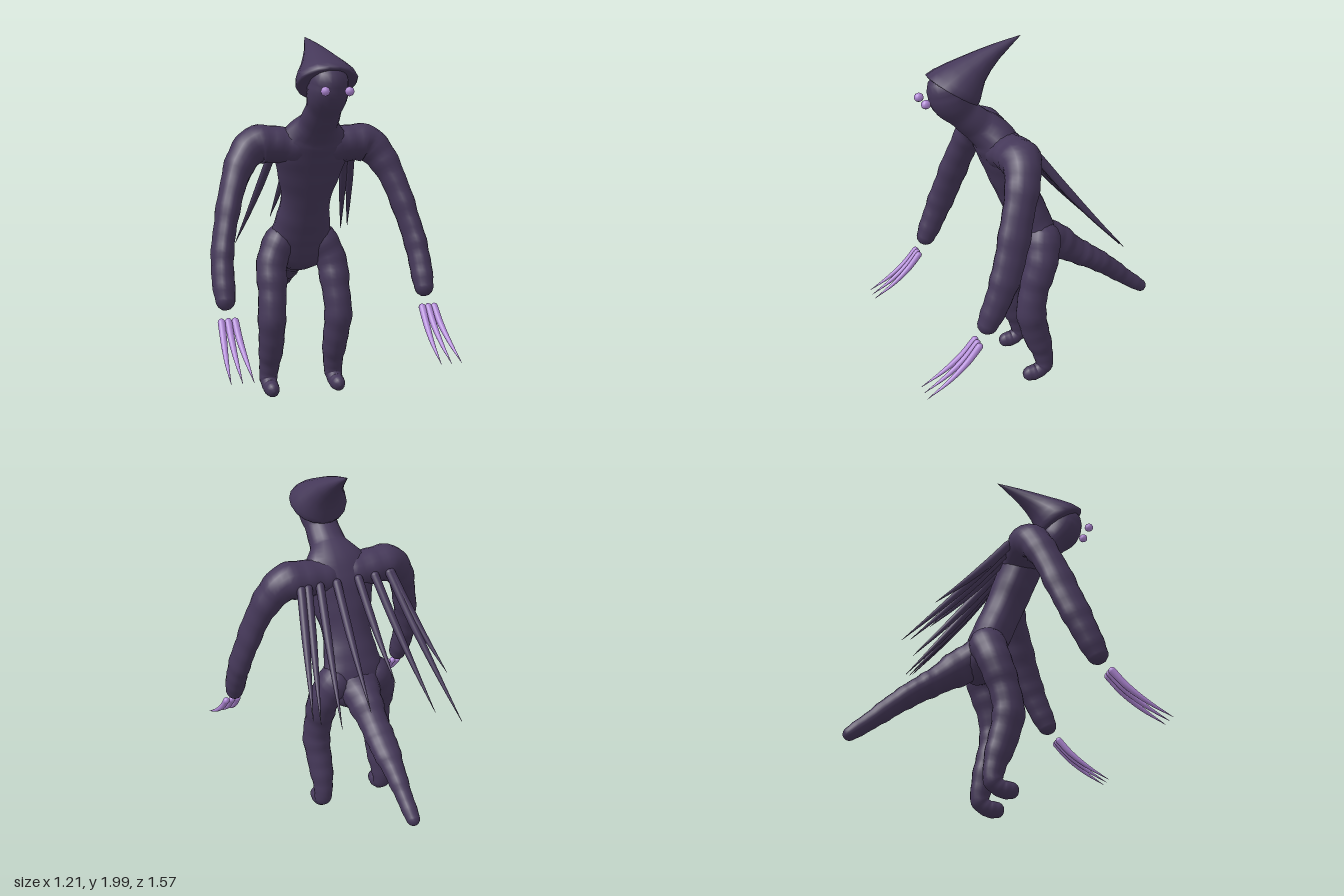
import * as THREE from 'three';

const SIDES = 18;

// Skin a list of rings {c, s, v} (centre and two half-axes) with smooth normals
function loft(rings) {
  const pos = [], idx = [];
  for (const { c, s, v } of rings) {
    for (let j = 0; j < SIDES; j++) {
      const a = (j / SIDES) * Math.PI * 2;
      const p = c.clone().addScaledVector(s, Math.cos(a)).addScaledVector(v, Math.sin(a));
      pos.push(p.x, p.y, p.z);
    }
  }
  for (let i = 0; i < rings.length - 1; i++) {
    for (let j = 0; j < SIDES; j++) {
      const k = (j + 1) % SIDES;
      const a = i * SIDES + j, b = i * SIDES + k;
      idx.push(a, b, a + SIDES, b, b + SIDES, a + SIDES);
    }
  }
  const g = new THREE.BufferGeometry();
  g.setAttribute('position', new THREE.Float32BufferAttribute(pos, 3));
  g.setIndex(idx);
  g.computeVertexNormals();
  return g;
}

// Sweep an ellipse along points [x, y, z, radius along ref, other radius], with rounded ends
function sweep(pts, ref, steps = 36, bump = 0) {
  const path = new THREE.CatmullRomCurve3(pts.map((p) => new THREE.Vector3(p[0], p[1], p[2])));
  const size = new THREE.CatmullRomCurve3(pts.map((p) => new THREE.Vector3(p[3], p[4], 0)));
  const rings = [];
  const ring = (t, scale, push) => {
    const T = path.getTangent(t), r = size.getPoint(t);
    const s = ref.clone().addScaledVector(T, -T.dot(ref)).normalize();
    const v = T.clone().cross(s);
    const k = scale * (1 + bump * Math.sin(t * 52) * Math.sin(t * 17 + 1));
    const c = path.getPoint(t).addScaledVector(T, push * Math.min(r.x, r.y));
    rings.push({ c, s: s.multiplyScalar(r.x * k), v: v.multiplyScalar(r.y * k) });
  };
  const caps = [0, 0.3, 0.6, 0.85];
  for (const q of caps) ring(0, Math.sin(q * Math.PI / 2), -Math.cos(q * Math.PI / 2));
  for (let i = 0; i <= steps; i++) ring(i / steps, 1, 0);
  for (const q of caps.slice().reverse()) ring(1, Math.sin(q * Math.PI / 2), Math.cos(q * Math.PI / 2));
  return loft(rings);
}

export function createModel() {
  const group = new THREE.Group();
  const skin = new THREE.MeshStandardMaterial({ name: 'dark purple skin', color: 0x453859 });
  const lilac = new THREE.MeshStandardMaterial({ name: 'lilac', color: 0xb088d6 });
  const X = new THREE.Vector3(1, 0, 0), Z = new THREE.Vector3(0, 0, 1);
  const add = (name, geo, mat) => {
    const m = new THREE.Mesh(geo, mat);
    m.name = name;
    group.add(m);
    return m;
  };

  // Leaning torso, neck and head
  add('torso', sweep([
    [0, 0.80, -0.07, 0.16, 0.10],
    [0, 0.90, -0.04, 0.18, 0.11],
    [0, 1.00, 0.00, 0.155, 0.11],
    [0, 1.12, 0.05, 0.14, 0.11],
    [0, 1.25, 0.10, 0.17, 0.115],
    [0, 1.38, 0.15, 0.205, 0.12],
    [0, 1.48, 0.205, 0.18, 0.11],
    [0, 1.55, 0.28, 0.105, 0.09],
    [0, 1.62, 0.355, 0.095, 0.085],
    [0, 1.70, 0.415, 0.105, 0.11],
    [0, 1.76, 0.435, 0.10, 0.11],
  ], X, 50, 0.015), skin);

  // Tail
  add('tail', sweep([
    [0, 0.86, -0.06, 0.15, 0.10],
    [0, 0.78, -0.18, 0.10, 0.10],
    [0, 0.69, -0.31, 0.082, 0.075],
    [0, 0.62, -0.42, 0.08, 0.066],
    [0, 0.54, -0.53, 0.06, 0.058],
    [0, 0.45, -0.64, 0.046, 0.048],
    [0, 0.365, -0.75, 0.038, 0.038],
  ], X, 40, 0.05), skin);

  // Swept-back pointed hood: [front z, front y, back z, back y, half width]
  const hood = [
    [0.40, 1.76, 0.40, 1.76, 0],
    [0.51, 1.81, 0.30, 1.672, 0.135],
    [0.53, 1.822, 0.285, 1.668, 0.155],
    [0.54, 1.835, 0.275, 1.68, 0.162],
    [0.50, 1.857, 0.268, 1.70, 0.158],
    [0.43, 1.885, 0.257, 1.74, 0.135],
    [0.36, 1.91, 0.24, 1.785, 0.105],
    [0.27, 1.94, 0.205, 1.835, 0.075],
    [0.18, 1.966, 0.155, 1.89, 0.046],
    [0.10, 1.985, 0.093, 1.945, 0.023],
    [0.03, 2.0, 0.03, 2.0, 0],
  ].map(([fz, fy, bz, by, w]) => ({
    c: new THREE.Vector3(0, (fy + by) / 2, (fz + bz) / 2),
    s: new THREE.Vector3(w, 0, 0),
    v: new THREE.Vector3(0, (by - fy) / 2, (bz - fz) / 2),
  }));
  add('hood', loft(hood), skin);

  for (const side of [1, -1]) {
    const label = side > 0 ? 'left' : 'right';
    const flip = (pts) => pts.map(([x, ...rest]) => [x * side, ...rest]);

    // Shoulder and hanging arm
    add(label + 'Arm', sweep(flip([
      [0.06, 1.41, 0.16, 0.11, 0.10],
      [0.20, 1.43, 0.15, 0.115, 0.10],
      [0.32, 1.425, 0.155, 0.105, 0.10],
      [0.40, 1.34, 0.185, 0.09, 0.08],
      [0.46, 1.20, 0.235, 0.085, 0.066],
      [0.505, 1.04, 0.285, 0.085, 0.06],
      [0.535, 0.90, 0.335, 0.08, 0.058],
      [0.545, 0.78, 0.385, 0.07, 0.058],
      [0.545, 0.67, 0.435, 0.058, 0.052],
    ]), Z, 48, 0.05), skin);

    // Leg with small forward foot
    add(label + 'Leg', sweep(flip([
      [0.12, 0.88, -0.05, 0.09, 0.10],
      [0.175, 0.76, -0.02, 0.088, 0.095],
      [0.185, 0.62, 0.025, 0.08, 0.085],
      [0.195, 0.47, 0.05, 0.077, 0.085],
      [0.19, 0.32, 0.02, 0.072, 0.08],
      [0.19, 0.19, -0.02, 0.06, 0.062],
      [0.195, 0.095, -0.03, 0.05, 0.05],
      [0.195, 0.058, 0.01, 0.045, 0.045],
      [0.195, 0.052, 0.06, 0.04, 0.045],
    ]), X, 48, 0.05), skin);

    // Three curved claws floating below each hand
    for (const i of [-1, 0, 1]) {
      const x = 0.545;
      add(label + 'Claw', sweep(flip([
        [x + i * 0.035, 0.573, 0.495, 0.019, 0.019],
        [x + i * 0.04, 0.495, 0.565, 0.017, 0.017],
        [x + i * 0.049, 0.415, 0.665, 0.011, 0.011],
        [x + i * 0.056, 0.343, 0.785, 0.001, 0.001],
      ]), X, 16), lilac);
    }

    // Eye
    const eye = add(label + 'Eye', new THREE.SphereGeometry(0.025, 8, 6), lilac);
    eye.rotation.x = Math.PI / 2;
    eye.position.set(0.063 * side, 1.712, 0.57);
  }

  // Back spines: [root x, tip x, tip y, tip z]
  for (const [rx, x, y, z] of [
    [-0.26, -0.415, 0.73, -0.535], [-0.27, -0.405, 0.96, -0.37],
    [-0.17, -0.275, 0.80, -0.48], [-0.07, -0.09, 0.97, -0.36],
    [0.06, 0.09, 0.87, -0.43], [0.16, 0.268, 0.83, -0.45],
    [0.23, 0.375, 0.87, -0.42], [0.27, 0.41, 0.89, -0.40],
  ]) {
    const at = (t, sag, r) => [
      rx + (x - rx) * t, 1.42 + (y - 1.42) * t - sag, 0.04 + (z - 0.04) * t - sag * 0.2, r, r,
    ];
    add('backSpine', sweep(
      [at(0, 0, 0.024), at(0.33, 0.02, 0.022), at(0.67, 0.018, 0.013), at(1, 0, 0.001)], X, 16), skin);
  }
  return group;
}
